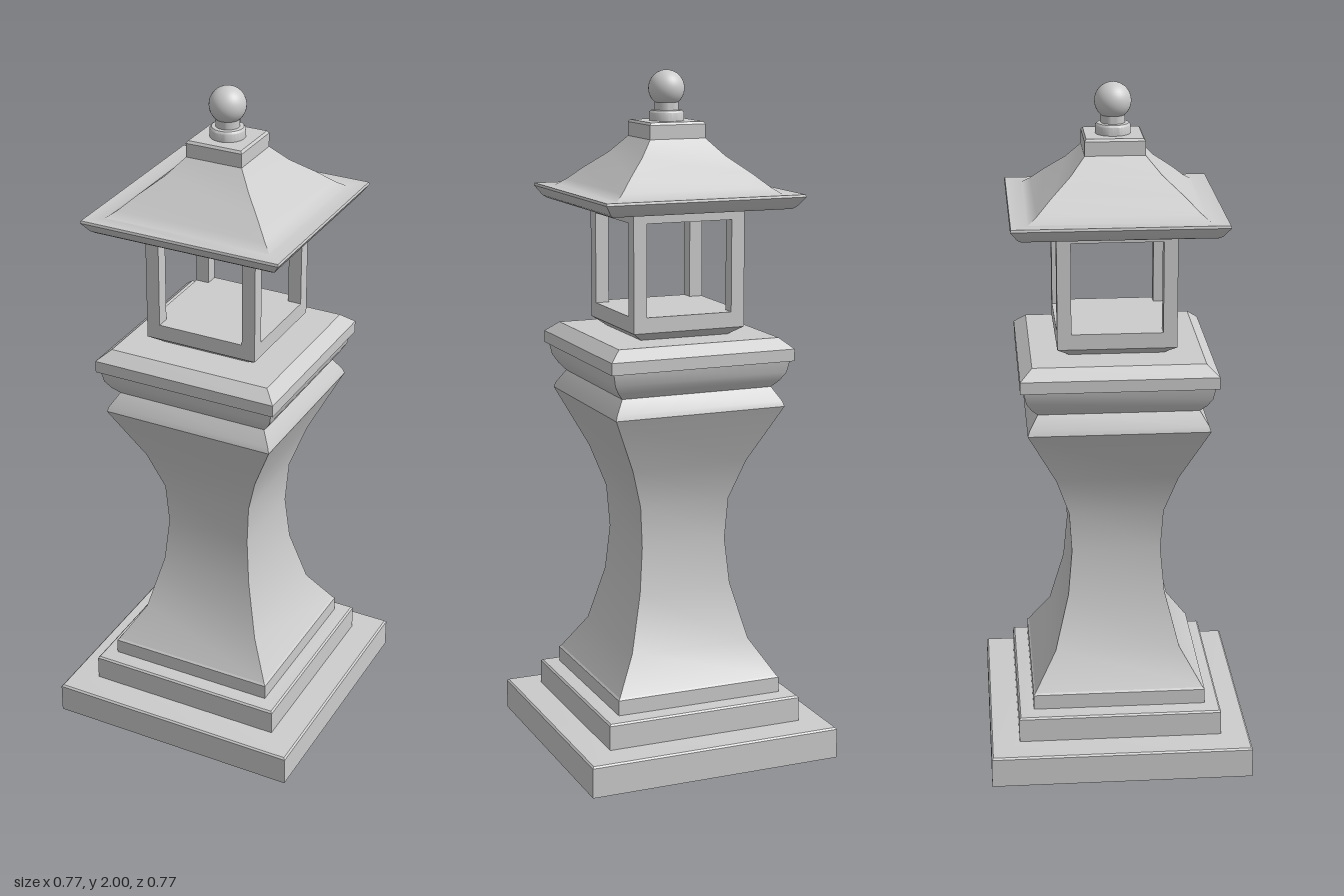
import * as THREE from 'three';
import { toCreasedNormals } from 'three/addons/utils/BufferGeometryUtils.js';

const material = new THREE.MeshStandardMaterial({ color: 0xcccccc, side: THREE.DoubleSide });

function addMesh(parent, name, geometry) {
  const mesh = new THREE.Mesh(geometry, material);
  mesh.name = name;
  parent.add(mesh);
  return mesh;
}

// Square loft: profile of [half width, height] pairs, bottom to top
function squareLoft(profile, crease = 0.62) {
  const points = profile.map(([w, y]) => new THREE.Vector2(w * Math.SQRT2, y));
  return toCreasedNormals(new THREE.LatheGeometry(points, 4, Math.PI / 4), crease);
}

function roundTurning(profile) {
  const points = profile.map(([r, y]) => new THREE.Vector2(r, y));
  return toCreasedNormals(new THREE.LatheGeometry(points, 32), 0.7);
}

function box(parent, name, w, h, d, x, y, z) {
  addMesh(parent, name, new THREE.BoxGeometry(w, h, d)).position.set(x, y, z);
}

export function createModel() {
  const model = new THREE.Group();
  model.name = 'stoneLantern';

  // Hollow stepped base, open underneath
  addMesh(model, 'steppedBase', squareLoft([
    [0.385, 0], [0.385, 0.088], [0.38, 0.093], [0.3, 0.098],
    [0.3, 0.17], [0.295, 0.175], [0.255, 0.18], [0.255, 0.225], [0.25, 0.23],
  ]));

  // Waisted pedestal with a notched neck
  addMesh(model, 'pedestal', squareLoft([
    [0.25, 0.23], [0.185, 0.335], [0.143, 0.5], [0.131, 0.635], [0.139, 0.76],
    [0.178, 0.88], [0.26, 1.05], [0.255, 1.065], [0.23, 1.105],
  ]));

  // Rounded cornice carrying the lantern
  addMesh(model, 'cornice', squareLoft([
    [0.23, 1.105], [0.248, 1.125], [0.263, 1.15], [0.27, 1.185],
    [0.28, 1.185], [0.28, 1.22], [0.245, 1.25], [0, 1.25],
  ]));

  // Lantern floor, chamfered below
  const lantern = new THREE.Group();
  lantern.name = 'lantern';
  model.add(lantern);
  addMesh(lantern, 'lanternFloor', squareLoft([
    [0.135, 1.25], [0.17, 1.275], [0.17, 1.32], [0, 1.32],
  ], 0.3));

  // Four posts and the rails joining them at the top
  for (const sx of [-1, 1]) {
    for (const sz of [-1, 1]) {
      box(lantern, 'cornerPost', 0.04, 0.3, 0.04, sx * 0.15, 1.47, sz * 0.15);
    }
    box(lantern, 'topRailSide', 0.04, 0.037, 0.26, sx * 0.15, 1.6035, 0);
    box(lantern, 'topRailEnd', 0.26, 0.037, 0.04, 0, 1.6035, sx * 0.15);
  }

  // Flared roof with sloping eave edges and a flat soffit
  addMesh(model, 'roof', squareLoft([
    [0, 1.62], [0.27, 1.62], [0.28, 1.627], [0.3, 1.655], [0.298, 1.662],
    [0.25, 1.66], [0.225, 1.678], [0.185, 1.715], [0.127, 1.763], [0.085, 1.81],
  ], 0.8));

  // Square block at the peak
  addMesh(model, 'roofCap', squareLoft([
    [0.085, 1.805], [0.085, 1.85], [0.08, 1.857], [0, 1.857],
  ]));

  // Turned neck and ball finial
  addMesh(model, 'finialNeck', roundTurning([
    [0.05, 1.855], [0.05, 1.88], [0.045, 1.886], [0.034, 1.887], [0.034, 1.915],
  ]));
  addMesh(model, 'finialBall', new THREE.SphereGeometry(0.052, 32, 20)).position.y = 1.948;

  return model;
}
